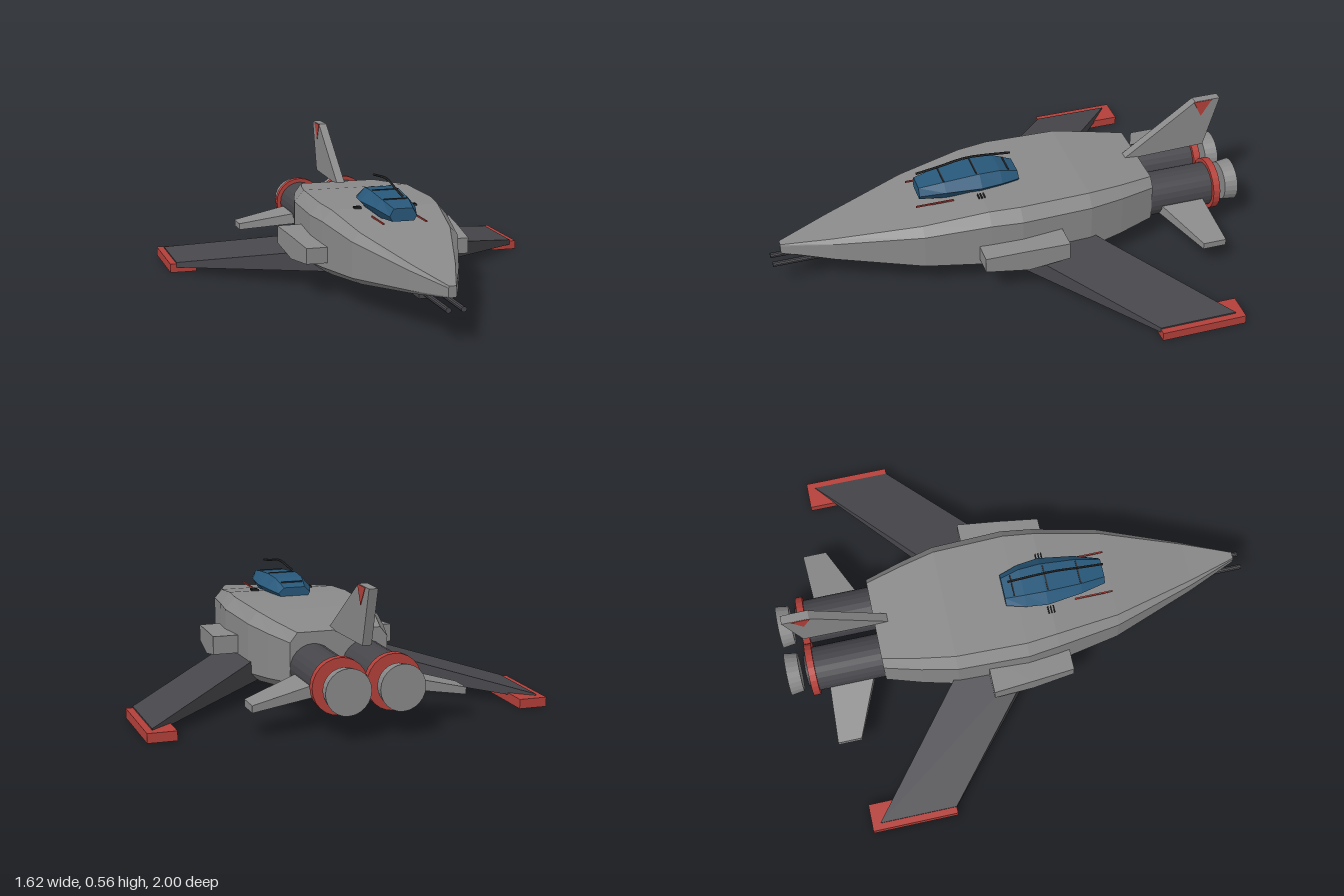
import * as THREE from 'three';

const mat = (name, color) => {
  const m = new THREE.MeshStandardMaterial({ color, flatShading: true });
  m.name = name;
  return m;
};

// Skin over rings of points; each ring runs counter-clockwise seen from the first end.
// isSecond(segment, side) sends a quad to the second material group.
function loft(rings, isSecond = () => false) {
  const parts = [[], []];
  const n = rings[0].length;
  for (let s = 0; s < rings.length - 1; s++) {
    const a = rings[s], b = rings[s + 1];
    for (let i = 0; i < n; i++) {
      const j = (i + 1) % n;
      parts[isSecond(s, i) ? 1 : 0].push(a[i], b[i], a[j], a[j], b[i], b[j]);
    }
  }
  const first = rings[0], last = rings[rings.length - 1];
  for (let i = 1; i < n - 1; i++) {
    parts[0].push(first[0], first[i], first[i + 1], last[0], last[i + 1], last[i]);
  }
  const g = new THREE.BufferGeometry();
  g.setAttribute('position', new THREE.Float32BufferAttribute([...parts[0], ...parts[1]].flat(), 3));
  g.addGroup(0, parts[0].length, 0);
  if (parts[1].length) g.addGroup(parts[0].length, parts[1].length, 1);
  g.computeVertexNormals();
  return g;
}

// Mirror rings to the other side, keeping faces outward
const mirror = (rings, side) => side > 0 ? rings
  : rings.map(r => r.map(([x, y, z]) => [-x, y, z]).reverse());

// Wing cross-section at x
const wingRing = (x, zBack, zFront, yLow, yHigh) =>
  [[x, yLow, zBack], [x, yLow, zFront], [x, yHigh, zFront], [x, yHigh, zBack]];

export function createModel() {
  const model = new THREE.Group();
  const grey = mat('hullGrey', 0x8a8a8a);
  const dark = mat('darkGrey', 0x47464b);
  const red = mat('red', 0xb5403a);
  const blue = mat('canopyBlue', 0x28587a);
  const black = mat('trimBlack', 0x2c2c2e);

  const add = (name, geometry, material, x = 0, y = 0, z = 0) => {
    const m = new THREE.Mesh(geometry, material);
    m.name = name;
    m.position.set(x, y, z);
    model.add(m);
    return m;
  };
  const box = (name, w, h, d, material, x, y, z) =>
    add(name, new THREE.BoxGeometry(w, h, d), material, x, y, z);
  // Cylinder along z, from z0 (front) to z1 (back)
  const tube = (name, r0, r1, z0, z1, material, x, y, sides = 24) =>
    add(name, new THREE.CylinderGeometry(r0, r1, z0 - z1, sides).rotateX(Math.PI / 2),
      material, x, y, (z0 + z1) / 2);

  // Fuselage: z, half width, bottom, top
  const hull = [
    [0.96, 0.016, 0.17, 0.215], [0.75, 0.1, 0.14, 0.25], [0.4, 0.222, 0.1, 0.31],
    [0.13, 0.27, 0.077, 0.352], [0, 0.287, 0.07, 0.357], [-0.3, 0.278, 0.07, 0.357],
    [-0.45, 0.243, 0.085, 0.343], [-0.6, 0.2, 0.105, 0.33],
  ].map(([z, w, b, t]) => {
    const h = t - b, lo = b + h * 0.13, hi = t - h * 0.17;
    return [[-w * 0.83, b, z], [w * 0.83, b, z], [w, lo, z], [w, hi, z],
      [w * 0.85, t, z], [-w * 0.85, t, z], [-w, hi, z], [-w, lo, z]];
  });
  add('fuselage', loft(hull, (s, i) => i === 0 && s >= 2), [grey, dark]);

  // Canopy: z, half widths and heights of the six-sided section
  const canopy = [
    [0.375, 0.045, 0.057, 0.04, 0.34, 0.36, 0.392],
    [0.27, 0.06, 0.085, 0.055, 0.335, 0.375, 0.41],
    [0.12, 0.065, 0.106, 0.062, 0.335, 0.38, 0.424],
    [0.03, 0.06, 0.095, 0.058, 0.34, 0.378, 0.42],
    [-0.05, 0.05, 0.07, 0.045, 0.345, 0.37, 0.393],
  ].map(([z, a, b, c, y0, y1, y2]) =>
    [[-a, y0, z], [a, y0, z], [b, y1, z], [c, y2, z], [-c, y2, z], [-b, y1, z]]);
  add('canopy', loft(canopy), blue);

  // Canopy cross frames and the raised rail above
  for (const [z, y, w] of [[0.27, 0.411, 0.1], [0.13, 0.424, 0.11], [-0.01, 0.409, 0.09]]) {
    box('canopyFrame', w, 0.005, 0.006, black, 0, y, z);
  }
  const rail = new THREE.CatmullRomCurve3([
    [0.375, 0.437], [0.28, 0.452], [0.16, 0.473], [-0.03, 0.46],
  ].map(([z, y]) => new THREE.Vector3(0, y, z)));
  add('canopyRail', new THREE.TubeGeometry(rail, 10, 0.005, 6), black);

  // Tail fin with painted tip triangles
  const finShape = pts => new THREE.Shape(pts.map(([z, y]) => new THREE.Vector2(-z, y)));
  const extrudeX = (pts, t) => new THREE.ExtrudeGeometry(finShape(pts), { depth: t, bevelEnabled: false })
    .translate(0, 0, -t / 2).rotateY(Math.PI / 2);
  add('tailFin', extrudeX([[-0.53, 0.325], [-0.9, 0.335], [-0.962, 0.56], [-0.85, 0.56]], 0.036), grey);
  for (const side of [1, -1]) {
    add('finMark', extrudeX([[-0.845, 0.558], [-0.88, 0.485], [-0.925, 0.558]], 0.003), red, side * 0.0185);
  }

  for (const side of [1, -1]) {
    // Main wing and its red tip
    add('wing', loft(mirror([
      wingRing(0.22, -0.28, 0.06, 0.075, 0.17),
      wingRing(0.78, -0.745, -0.42, 0.022, 0.044),
    ], side)), dark);
    box('wingTip', 0.115, 0.038, 0.36, red, side * 0.75, 0.019, -0.6);

    // Rear stabilizer
    add('stabilizer', loft(mirror([
      wingRing(0.16, -0.835, -0.635, 0.14, 0.19),
      wingRing(0.428, -0.85, -0.75, 0.1, 0.128),
    ], side)), grey);

    // Side pod above the wing root
    const podRing = (x, y0, y1, z) => [[0.22, y0, z], [x, y0, z], [x, y1, z], [0.22, y1, z]];
    add('sidePod', loft(mirror([
      podRing(0.35, 0.142, 0.208, 0.18),
      podRing(0.37, 0.126, 0.224, 0),
      podRing(0.387, 0.16, 0.235, -0.17),
    ], side)), grey);

    // Engine, ring, inner core and nozzle disc
    const x = side * 0.107, y = 0.19;
    tube('engine', 0.093, 0.093, -0.57, -0.885, dark, x, y);
    tube('engineRing', 0.11, 0.11, -0.88, -0.91, red, x, y);
    tube('engineCore', 0.065, 0.065, -0.9, -0.922, dark, x, y);
    tube('nozzle', 0.082, 0.09, -0.945, -1, grey, x, y);

    // Nose guns
    tube('gunBarrel', 0.011, 0.011, 1, 0.6, dark, side * 0.03, 0.134, 10);
    box('gunHousing', 0.045, 0.03, 0.16, dark, side * 0.034, 0.13, 0.66);

    // Small rods and vents beside the canopy
    box('canopyRod', 0.006, 0.006, 0.16, red, side * 0.09, 0.338, 0.32);
    for (let i = 0; i < 3; i++) {
      box('vent', 0.03, 0.008, 0.005, black, side * 0.12, 0.356, 0.118 + i * 0.012);
    }
  }
  return model;
}
